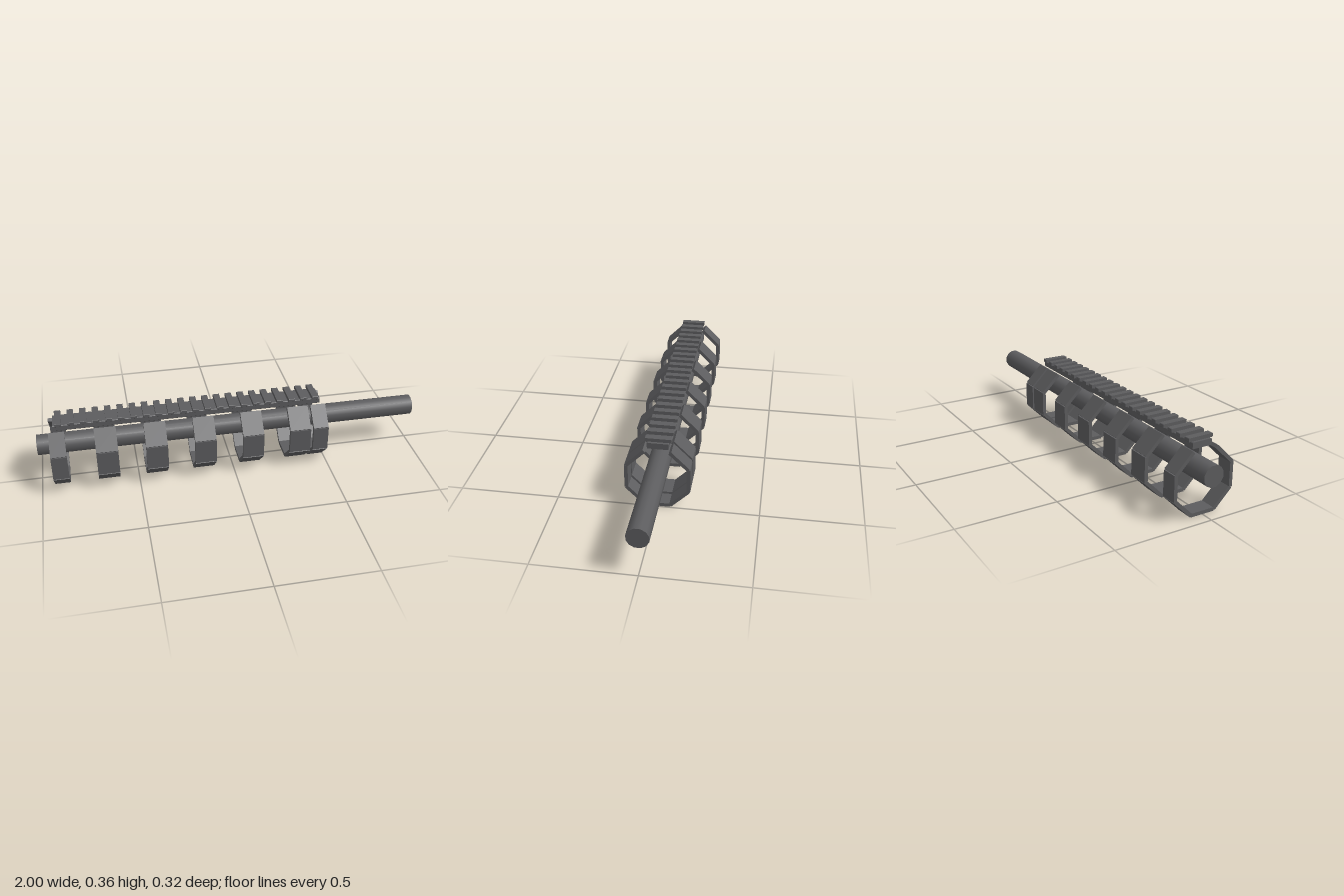
import * as THREE from 'three';

// Bar running along x with a chamfered cross-section
function chamferedBar(length, height, depth, c) {
  const h = height / 2, d = depth / 2;
  const shape = new THREE.Shape([
    [-d + c, -h], [d - c, -h], [d, -h + c], [d, h - c],
    [d - c, h], [-d + c, h], [-d, h - c], [-d, -h + c],
  ].map(([x, y]) => new THREE.Vector2(x, y)));
  return new THREE.ExtrudeGeometry(shape, { depth: length, bevelEnabled: false })
    .translate(0, 0, -length / 2).rotateY(Math.PI / 2);
}

export function createModel() {
  const model = new THREE.Group();
  const metal = new THREE.MeshStandardMaterial({ color: 0x5c5c5e });
  metal.name = 'dark grey metal';

  const add = (parent, name, geometry, x, y, z) => {
    const mesh = new THREE.Mesh(geometry, metal);
    mesh.name = name;
    mesh.position.set(x, y, z);
    parent.add(mesh);
    return mesh;
  };

  // Twelve-sided tube along the full length, flat side up
  const tube = new THREE.CylinderGeometry(0.0535, 0.0535, 2, 12, 1, false, Math.PI / 12)
    .rotateZ(Math.PI / 2);
  add(model, 'tube', tube, 0, 0.211, 0);

  // Octagonal rings of flat plates, open at the top: [start x, end x]
  const spans = [[-0.935, -0.855], [-0.71, -0.6], [-0.46, -0.35], [-0.21, -0.1],
    [0.04, 0.15], [0.29, 0.4], [0.415, 0.495]];
  const centreY = 0.161, apothem = 0.152;
  for (const [start, end] of spans) {
    const ring = new THREE.Group();
    ring.name = 'ring';
    ring.position.set((start + end) / 2, centreY, 0);
    const plate = new THREE.BoxGeometry(end - start, 0.018, 0.127);
    for (let i = 1; i < 8; i++) {
      const a = i * Math.PI / 4;
      const mesh = add(ring, 'ringPlate', plate, 0, apothem * Math.cos(a), apothem * Math.sin(a));
      mesh.rotation.x = a;
    }
    model.add(ring);
  }

  // Top rail with evenly spaced cross slats
  const rail = new THREE.Group();
  rail.name = 'topRail';
  add(rail, 'railBase', chamferedBar(1.38, 0.031, 0.104, 0.003), -0.22, 0.331, 0);
  const slat = chamferedBar(0.032, 0.018, 0.13, 0.002);
  for (let i = 0; i < 22; i++) add(rail, 'railSlat', slat, -0.882 + i * 0.063, 0.3555, 0);
  model.add(rail);

  return model;
}
